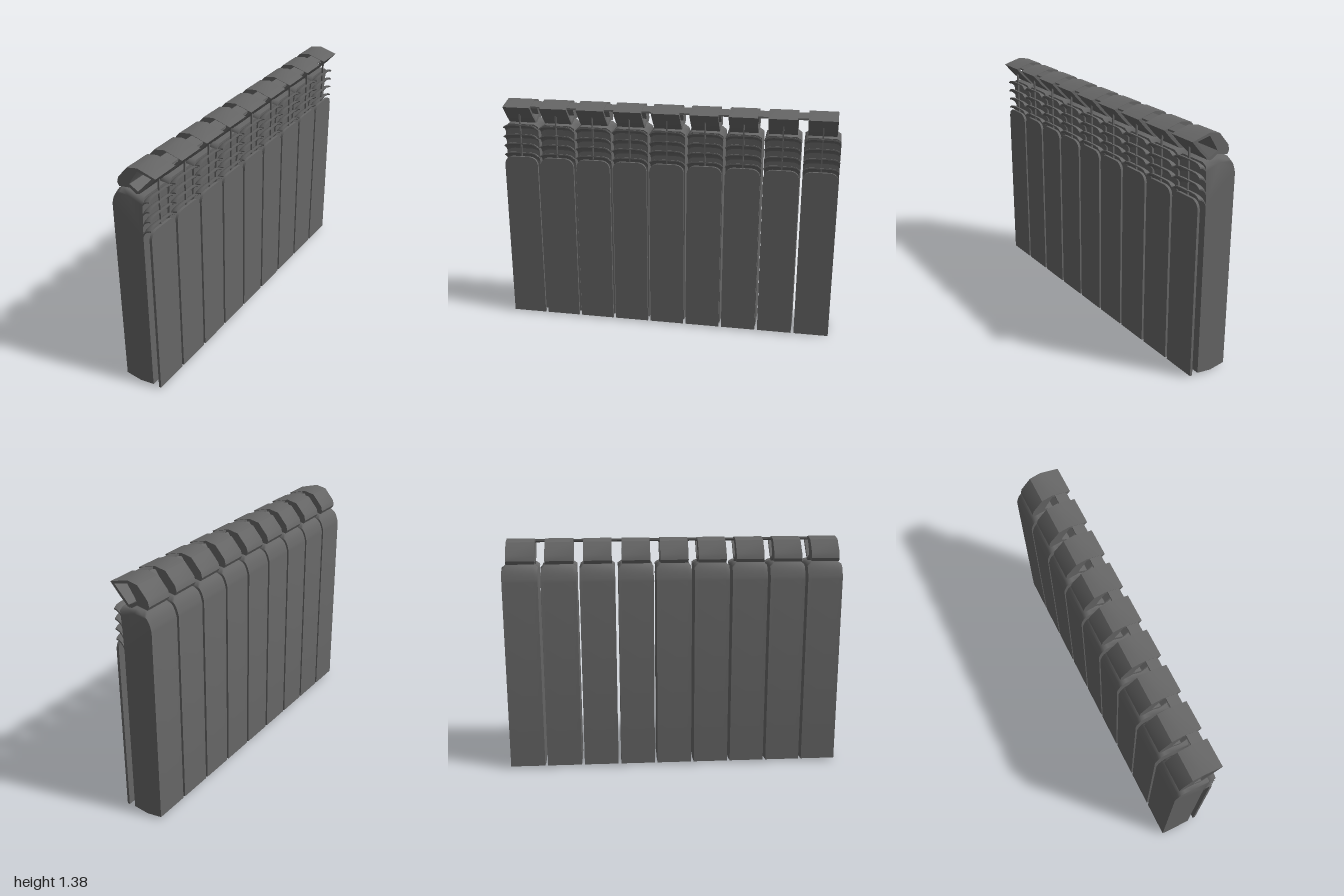
import * as THREE from 'three';
import { toCreasedNormals } from 'three/addons/utils/BufferGeometryUtils.js';

const COUNT = 9, PITCH = 0.224, WIDTH = 0.207;
const material = new THREE.MeshStandardMaterial({ color: 0x666666, side: THREE.DoubleSide });

const shapeOf = (pts) => new THREE.Shape(pts.map(([x, y]) => new THREE.Vector2(x, y)));

// Extrude an x-y outline along z, centred; rule(v, t) moves vertices, t runs -1..1 across the width
function slab(shape, width, { steps = 1, rule = null, crease = 0.5 } = {}) {
  const geo = new THREE.ExtrudeGeometry(shape, { depth: width, steps, bevelEnabled: false, curveSegments: 8 });
  geo.translate(0, 0, -width / 2);
  if (rule) {
    const p = geo.attributes.position, v = new THREE.Vector3();
    for (let i = 0; i < p.count; i++) {
      v.fromBufferAttribute(p, i);
      rule(v, v.z / (width / 2));
      p.setXYZ(i, v.x, v.y, v.z);
    }
  }
  return toCreasedNormals(geo, crease);
}

// Column: shallow V foot, rounded back shoulder, front leaning out at the top
function columnGeometry() {
  const s = new THREE.Shape();
  s.moveTo(-0.135, 0.014);
  s.lineTo(-0.04, 0);
  s.lineTo(0.05, 0.012);
  s.lineTo(0.05, 0.98);
  s.quadraticCurveTo(0.052, 1.1, 0.062, 1.238);
  s.lineTo(-0.03, 1.243);
  s.lineTo(-0.08, 1.25);
  s.bezierCurveTo(-0.115, 1.24, -0.125, 1.2, -0.135, 1.15);
  const rule = (v, t) => {
    if (Math.abs(t) < 0.5) v.z = Math.sign(t) * (WIDTH / 2 - 0.025);
    else if (v.y > 1.15) v.y = 1.15 + (v.y - 1.15) * 0.82; // soften the upper side edges
  };
  return slab(s, WIDTH, { steps: 3, rule, crease: 1.1 });
}

// Louvre blade: thin curved strip whose ends droop
function bladeGeometry() {
  const s = new THREE.Shape();
  s.moveTo(0.048, 0.004);
  s.quadraticCurveTo(0.06, 0.05, 0.1, 0.056);
  s.lineTo(0.1, 0.063);
  s.quadraticCurveTo(0.058, 0.058, 0.048, 0.018);
  return slab(s, WIDTH, { steps: 12, rule: (v, t) => { v.y -= 0.018 * t ** 6; } });
}

// Hollow angular hood on top of each column
function hoodGeometry() {
  const s = shapeOf([[-0.108, 1.27], [-0.097, 1.25], [-0.03, 1.262], [0.01, 1.236], [0.03, 1.243],
    [0.082, 1.295], [0.134, 1.355], [0.024, 1.385], [-0.04, 1.372], [-0.1, 1.302]]);
  s.holes.push(shapeOf([[-0.03, 1.282], [-0.018, 1.305], [0.024, 1.368], [0.11, 1.349],
    [0.07, 1.306], [0.022, 1.254]]));
  return slab(s, 0.165);
}

// Front panel with rounded top corners
function panelGeometry() {
  const h = WIDTH / 2, top = 1.045, r = 0.05;
  const s = new THREE.Shape();
  s.moveTo(-h, 0.01);
  s.lineTo(h, 0.01);
  s.lineTo(h, top - r);
  s.quadraticCurveTo(h - 0.005, top - 0.005, h - r, top);
  s.lineTo(-h + r, top);
  s.quadraticCurveTo(-h + 0.005, top - 0.005, -h, top - r);
  return slab(s, 0.015).rotateY(Math.PI / 2).translate(0.0955, 0, 0);
}

export function createModel() {
  const radiator = new THREE.Group();
  radiator.name = 'radiator';
  const add = (parent, name, geo, x = 0, y = 0, z = 0) => {
    const mesh = new THREE.Mesh(geo, material);
    mesh.name = name;
    mesh.position.set(x, y, z);
    parent.add(mesh);
  };

  const column = columnGeometry(), blade = bladeGeometry();
  const hood = hoodGeometry(), panel = panelGeometry();
  const rib = new THREE.BoxGeometry(0.01, 0.285, 0.008);

  // Repeated sections along z
  for (let i = 0; i < COUNT; i++) {
    const section = new THREE.Group();
    section.name = 'section';
    section.position.z = (i - (COUNT - 1) / 2) * PITCH;
    add(section, 'column', column);
    add(section, 'frontPanel', panel);
    for (let k = 0; k < 4; k++) add(section, 'louvreBlade', blade, 0, 1.01 + k * 0.0567);
    add(section, 'hood', hood, 0, 0, 0.003);
    add(section, 'louvreRib', rib, 0.086, 1.1725);
    radiator.add(section);
  }

  // Sloping strip that ties the hoods together
  add(radiator, 'topStrip', slab(shapeOf([[0.04, 1.367], [0.11, 1.35], [0.11, 1.36], [0.04, 1.378]]), 1.95));
  return radiator;
}
